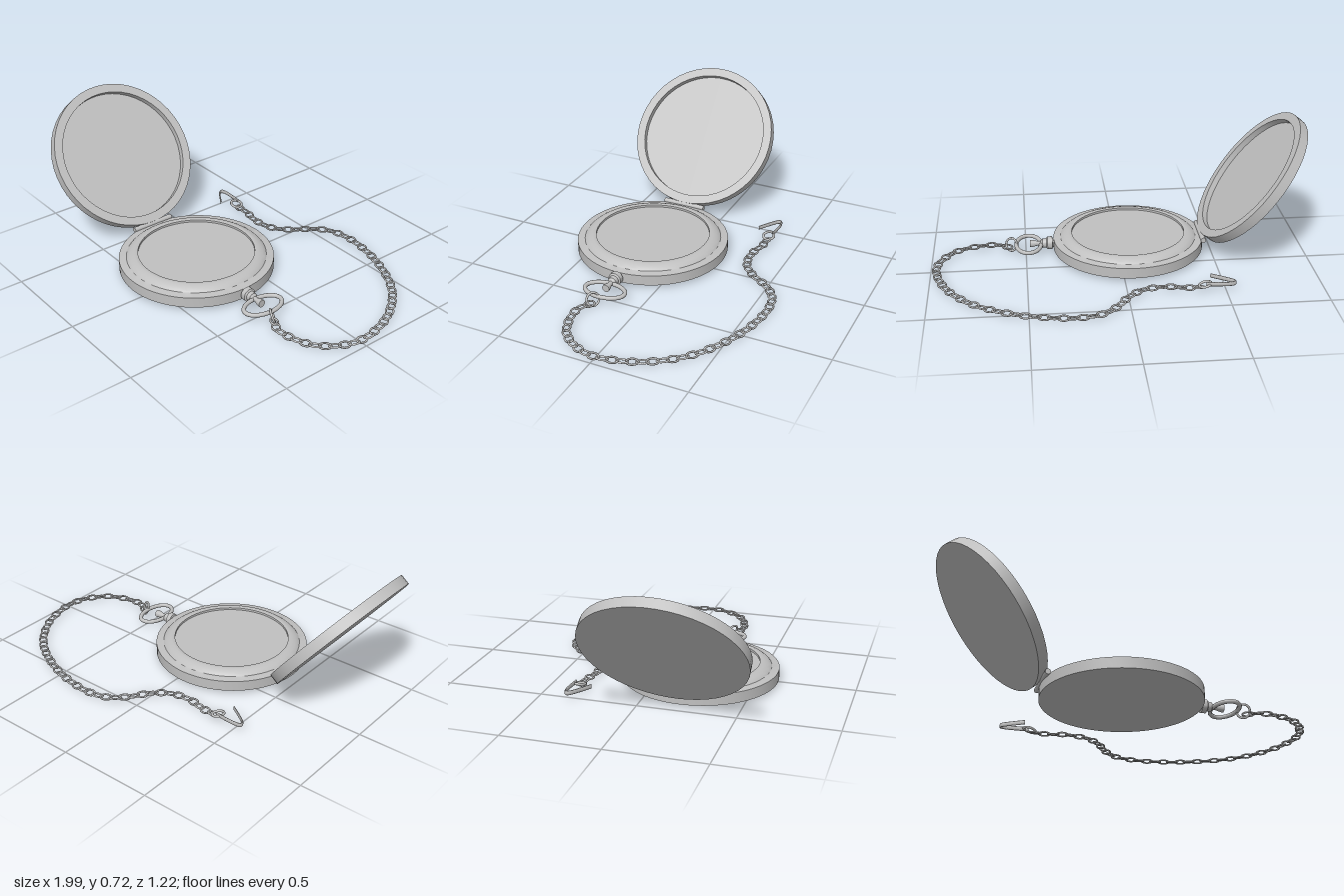
import * as THREE from 'three';
import { toCreasedNormals } from 'three/addons/utils/BufferGeometryUtils.js';

const silver = new THREE.MeshStandardMaterial({ color: 0xc0c0c0 });
silver.name = 'silver';

function add(parent, name, geometry, x = 0, y = 0, z = 0) {
  const mesh = new THREE.Mesh(geometry, silver);
  mesh.name = name;
  mesh.position.set(x, y, z);
  parent.add(mesh);
  return mesh;
}

// Lathe from [radius, height] pairs, with sharp edges kept sharp
function turned(profile, segments = 64) {
  const points = profile.map(([r, h]) => new THREE.Vector2(r, h));
  return toCreasedNormals(new THREE.LatheGeometry(points, segments), 0.5);
}

// Closed oval ring lying flat: half length along x, half width along z
function ovalRing(halfLength, halfWidth, wire, steps = 20, sides = 6) {
  const points = [];
  for (let i = 0; i < steps; i++) {
    const a = (i / steps) * Math.PI * 2;
    points.push(new THREE.Vector3(
      Math.cos(a) * (halfLength - wire), 0, -Math.sin(a) * (halfWidth - wire)));
  }
  return new THREE.TubeGeometry(
    new THREE.CatmullRomCurve3(points, true), steps, wire, sides, true);
}

export function createModel() {
  const model = new THREE.Group();
  model.name = 'pocketWatch';
  const cx = -0.055, cz = 0.205;

  // Case with a raised, rounded bezel around a shallow recess
  add(model, 'case', turned([
    [0, 0.02], [0.405, 0.02], [0.405, 0.076], [0.366, 0.081],
    [0.36, 0.088], [0.345, 0.098], [0.325, 0.105], [0.31, 0.106],
    [0.305, 0.104], [0.305, 0.092],
  ]), cx, 0, cz);
  const dial = add(model, 'dial', new THREE.CircleGeometry(0.306, 64), cx, 0.092, cz);
  dial.rotation.x = -Math.PI / 2;

  // Open lid, hollow on the side facing the case
  const lid = new THREE.Group();
  lid.name = 'lid';
  lid.position.set(-0.743, 0.375, cz);
  lid.rotation.z = -0.887;
  model.add(lid);
  add(lid, 'lidShell', turned([
    [0, 0], [0.405, 0], [0.405, 0.055], [0.358, 0.055], [0.358, 0.023], [0, 0.023],
  ], 48));

  // Hinge between lid and case
  const hinge = add(model, 'hinge',
    new THREE.CylinderGeometry(0.014, 0.014, 0.24, 16), -0.453, 0.081, cz);
  hinge.rotation.x = Math.PI / 2;

  // Crown stem, pointing to the side
  const stem = add(model, 'crownStem', turned([
    [0, 0], [0.024, 0], [0.024, 0.02], [0.035, 0.022], [0.035, 0.048],
    [0.026, 0.054], [0.024, 0.075], [0.012, 0.085], [0.012, 0.1],
    [0.02, 0.13], [0.02, 0.142], [0, 0.142],
  ], 24), 0.335, 0.05, cz);
  stem.rotation.z = -Math.PI / 2;

  // Bow around the crown
  add(model, 'bow', ovalRing(0.078, 0.12, 0.011, 48, 10), 0.485, 0.046, cz);

  // Small ring joining bow and chain
  const joint = add(model, 'jointRing', new THREE.TorusGeometry(0.034, 0.006, 8, 24),
    0.578, 0.041, 0.222);
  joint.rotation.set(0.35, -0.6, 0, 'YXZ');

  // Chain of alternately tilted links along a curve on the ground
  const path = new THREE.CatmullRomCurve3([
    [0.6, 0.23], [0.66, 0.26], [0.76, 0.25], [0.87, 0.2], [0.945, 0.1],
    [0.97, 0], [0.95, -0.13], [0.9, -0.25], [0.8, -0.38], [0.68, -0.47],
    [0.5, -0.55], [0.35, -0.583], [0.25, -0.588], [0.15, -0.565],
    [0.07, -0.5], [0, -0.4], [-0.08, -0.335], [-0.2, -0.315],
    [-0.3, -0.335], [-0.36, -0.335],
  ].map(([x, z]) => new THREE.Vector3(x, 0.024, z)));
  const chain = new THREE.Group();
  chain.name = 'chain';
  model.add(chain);
  const linkGeometry = ovalRing(0.034, 0.024, 0.005);
  const count = Math.round(path.getLength() / 0.047);
  for (let i = 0; i <= count; i++) {
    const p = path.getPointAt(i / count), t = path.getTangentAt(i / count);
    const link = add(chain, 'chainLink', linkGeometry, p.x, p.y, p.z);
    link.rotation.set(i % 2 ? 0.2 : -0.2, Math.atan2(-t.z, t.x), 0, 'YXZ');
  }

  // End ring and flat bent hook
  const endRing = add(model, 'endRing', ovalRing(0.038, 0.036, 0.007, 24), -0.392, 0.038, -0.335);
  endRing.rotation.z = -0.25;
  const hookPath = new THREE.CatmullRomCurve3([
    [-0.395, -0.352], [-0.46, -0.358], [-0.525, -0.358], [-0.545, -0.35],
    [-0.543, -0.335], [-0.52, -0.315], [-0.475, -0.285], [-0.432, -0.258],
  ].map(([x, z]) => new THREE.Vector3(x, 0, z)));
  const hookGeometry = new THREE.TubeGeometry(hookPath, 40, 0.004, 8);
  hookGeometry.scale(1, 3, 1);
  add(model, 'hook', hookGeometry, 0, 0.047, 0);

  return model;
}
